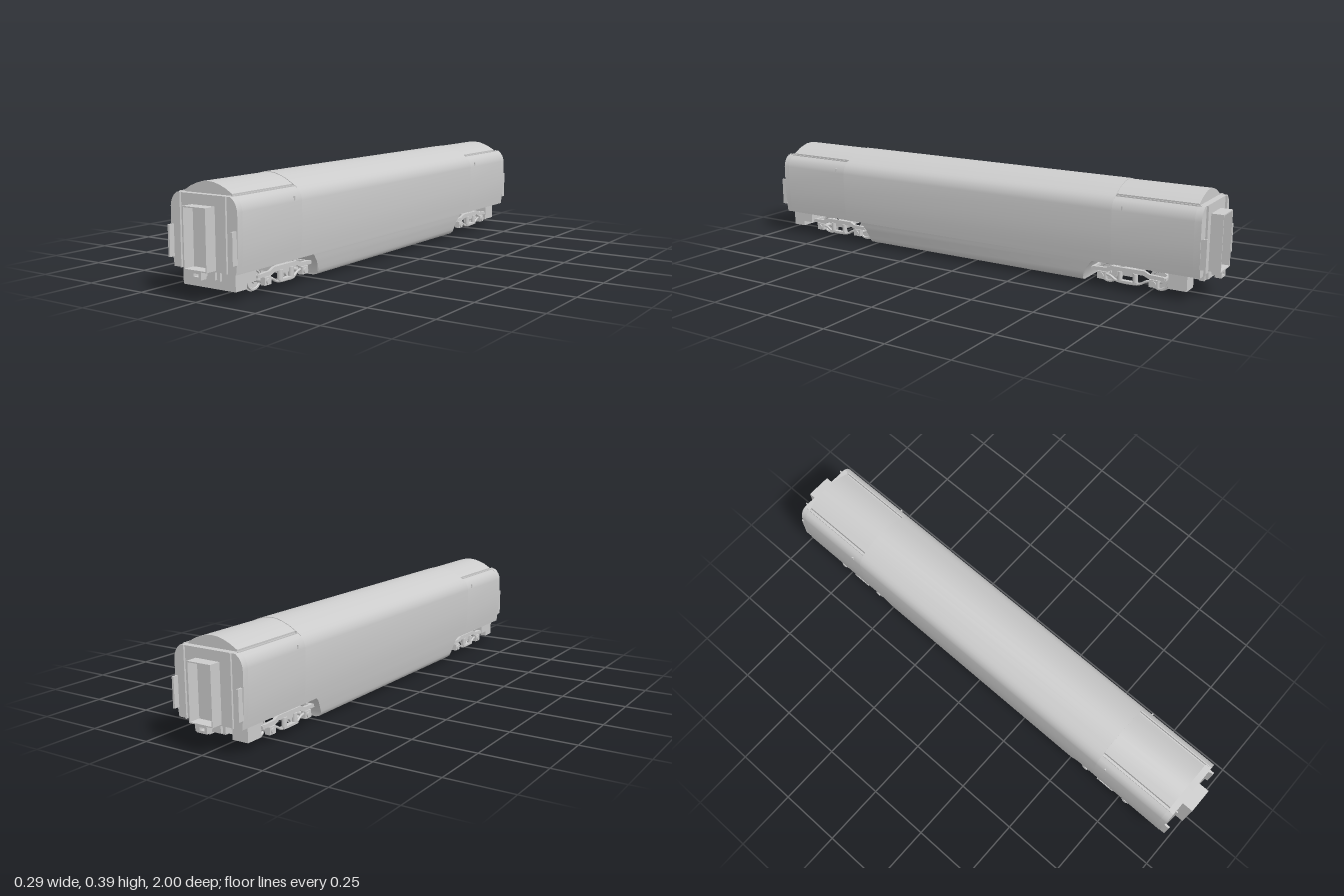
import * as THREE from 'three';
import { toCreasedNormals } from 'three/addons/utils/BufferGeometryUtils.js';

const mat = new THREE.MeshStandardMaterial({ color: 0xcccccc, roughness: 0.8 });
const matDouble = new THREE.MeshStandardMaterial({ color: 0xcccccc, roughness: 0.8, side: THREE.DoubleSide });

function add(parent, name, geometry, x = 0, y = 0, z = 0, material = mat) {
  const mesh = new THREE.Mesh(geometry, material);
  mesh.name = name;
  mesh.position.set(x, y, z);
  parent.add(mesh);
  return mesh;
}

// Box given by its limits
function box(parent, name, x0, x1, y0, y1, z0, z1) {
  return add(parent, name, new THREE.BoxGeometry(x1 - x0, y1 - y0, z1 - z0),
    (x0 + x1) / 2, (y0 + y1) / 2, (z0 + z1) / 2);
}

// Mirrors a right-half profile (bottom to top) and extrudes it from z0 to z1
function hull(half, z0, z1) {
  const left = half.filter(p => p[0] > 0).map(([x, y]) => [-x, y]).reverse();
  const shape = new THREE.Shape([...half, ...left].map(([x, y]) => new THREE.Vector2(x, y)));
  const g = new THREE.ExtrudeGeometry(shape, { depth: z1 - z0, bevelEnabled: false });
  return g.translate(0, 0, z0);
}

const FLOOR = 0.097;
const side = [[0.135, FLOOR], [0.14, 0.135], [0.144, 0.18], [0.145, 0.22], [0.145, 0.3], [0.143, 0.312], [0.138, 0.325], [0.13, 0.337]];
const mainProfile = [...side, [0.117, 0.348], [0.1, 0.358], [0.075, 0.372], [0.05, 0.382], [0.025, 0.389], [0, 0.391]];
const groovedProfile = [...side, [0.113, 0.349], [0.113, 0.338], [0.103, 0.338], [0.103, 0.354],
  [0.075, 0.37], [0.05, 0.38], [0.025, 0.387], [0, 0.389]];
const endProfile = [...side, [0.116, 0.348], [0, 0.348]];

function buildBody(root) {
  const body = new THREE.Group();
  body.name = 'carBody';
  root.add(body);
  const smooth = g => toCreasedNormals(g, 0.6);
  add(body, 'mainShell', smooth(hull(mainProfile, -0.62, 0.62)));
  for (const s of [1, -1]) {
    const span = (a, b) => (s > 0 ? [a, b] : [-b, -a]);
    add(body, 'endRoofShell', smooth(hull(groovedProfile, ...span(0.62, 0.93))));
    add(body, 'endShell', smooth(hull(endProfile, ...span(0.93, 0.955))));
  }

  // Lower skirt, its ends flaring outward towards the floor
  const skirt = hull([[0.1, 0.012], [0.112, 0.015], [0.12, 0.022], [0.125, 0.034], [0.128, 0.05],
    [0.1305, 0.066], [0.133, 0.082], [0.135, FLOOR]], -1, 1);
  const p = skirt.attributes.position;
  for (let i = 0; i < p.count; i++) {
    const t = (p.getY(i) - 0.012) / (FLOOR - 0.012);
    p.setZ(i, Math.sign(p.getZ(i)) * (0.5 + 0.042 * t * t));
  }
  add(body, 'skirt', smooth(skirt));
}

function buildEnd(root, s) {
  const end = new THREE.Group();
  end.name = s > 0 ? 'frontEnd' : 'rearEnd';
  end.rotation.y = s > 0 ? 0 : Math.PI;
  root.add(end);

  // Open gangway hood
  const w = 0.05, t = 0.004;
  for (const m of [1, -1]) {
    add(end, 'gangwaySide', new THREE.BoxGeometry(t, 0.21, 0.045), m * (w - t / 2), 0.207, 0.9775);
    add(end, 'endRib', new THREE.BoxGeometry(0.005, 0.252, 0.009), m * 0.099, 0.223, 0.958);
    add(end, 'grabRail', new THREE.BoxGeometry(0.008, 0.11, 0.024), m * 0.137, 0.185, 0.964);
    add(end, 'ventBlock', new THREE.BoxGeometry(0.006, 0.014, 0.006), m * 0.143, 0.312, 0.66);
    add(end, 'roofLedge', new THREE.BoxGeometry(0.004, 0.012, 0.32), m * 0.114, 0.345, 0.782);
  }
  box(end, 'gangwayTop', -w, w, 0.308, 0.312, 0.955, 1);
  box(end, 'gangwaySill', -w, w, 0.102, 0.106, 0.955, 1);

  // Coupler with a hollow head
  box(end, 'bufferBeam', -0.057, 0.057, 0.065, FLOOR, 0.925, 0.945);
  box(end, 'couplerPocket', -0.045, 0.045, 0.07, FLOOR, 0.94, 0.955);
  box(end, 'couplerShank', -0.012, 0.012, 0.08, 0.096, 0.9, 0.972);
  const head = new THREE.Shape([[-0.021, 0.074], [0.021, 0.074], [0.021, 0.102], [-0.021, 0.102]]
    .map(q => new THREE.Vector2(...q)));
  head.holes.push(new THREE.Path([[-0.011, 0.083], [-0.011, 0.094], [0.011, 0.094], [0.011, 0.083]]
    .map(q => new THREE.Vector2(...q))));
  add(end, 'couplerHead', new THREE.ExtrudeGeometry(head, { depth: 0.025, bevelEnabled: false }), 0, 0, 0.97);

  // Underfloor equipment differs between the two ends
  if (s > 0) {
    box(end, 'crossTank', -0.115, 0.115, 0.035, FLOOR, 0.88, 0.935);
    box(end, 'equipmentBox', 0.05, 0.115, 0.055, FLOOR, 0.835, 0.88);
    box(end, 'equipmentBox', -0.115, -0.05, 0.055, FLOOR, 0.835, 0.88);
  } else {
    for (const m of [1, -1])
      add(end, 'equipmentBox', new THREE.BoxGeometry(0.065, 0.064, 0.07), m * 0.082, 0.066, 0.868);
  }
}

function buildBogie(root, z) {
  const bogie = new THREE.Group();
  bogie.name = z > 0 ? 'frontBogie' : 'rearBogie';
  bogie.position.z = z;
  root.add(bogie);

  // Wheel with a flange on its inner side
  const wheelProfile = [[0, 0], [0.042, 0], [0.042, 0.003], [0.038, 0.004], [0.037, 0.013],
    [0.031, 0.013], [0.029, 0.009], [0.014, 0.009], [0.012, 0.014], [0, 0.014]]
    .map(q => new THREE.Vector2(...q));
  const wheel = toCreasedNormals(new THREE.LatheGeometry(wheelProfile, 28), 0.5);

  for (const dz of [-0.102, 0.102]) {
    const axle = add(bogie, 'axle', new THREE.CylinderGeometry(0.008, 0.008, 0.22, 12), 0, 0.042, dz);
    axle.rotation.z = Math.PI / 2;
    for (const m of [1, -1]) {
      add(bogie, 'wheel', wheel, m * 0.049, 0.042, dz, matDouble).rotation.z = -m * Math.PI / 2;
      add(bogie, 'axleBox', new THREE.BoxGeometry(0.02, 0.028, 0.034), m * 0.112, 0.045, dz);
      const cap = add(bogie, 'axleCap', new THREE.CylinderGeometry(0.011, 0.011, 0.006, 14), m * 0.124, 0.044, dz);
      cap.rotation.z = Math.PI / 2;
    }
  }

  // Side frames: a stepped upper beam and a curved equaliser below
  const beam = new THREE.Shape([[-0.145, 0.06], [-0.08, 0.06], [-0.062, 0.068], [0.062, 0.068], [0.08, 0.06],
    [0.145, 0.06], [0.14, 0.073], [0.085, 0.075], [0.065, 0.085], [-0.065, 0.085], [-0.085, 0.075], [-0.14, 0.073]]
    .map(q => new THREE.Vector2(...q)));
  const beamGeo = new THREE.ExtrudeGeometry(beam, { depth: 0.012, bevelEnabled: false })
    .translate(0, 0, -0.006).rotateY(Math.PI / 2);
  const sag = new THREE.CatmullRomCurve3([[-0.102, 0.052], [-0.07, 0.046], [-0.045, 0.032],
    [0.045, 0.032], [0.07, 0.046], [0.102, 0.052]].map(([c, y]) => new THREE.Vector3(0, y, c)));
  const sagGeo = new THREE.TubeGeometry(sag, 20, 0.005, 6);
  for (const m of [1, -1]) {
    add(bogie, 'sideFrame', beamGeo, m * 0.112, 0, 0);
    add(bogie, 'equaliser', sagGeo, m * 0.112, 0, 0);
    add(bogie, 'springPlank', new THREE.BoxGeometry(0.018, 0.008, 0.08), m * 0.115, 0.034, 0);
    for (const c of [-0.03, 0.03])
      add(bogie, 'spring', new THREE.CylinderGeometry(0.01, 0.01, 0.034, 12), m * 0.115, 0.053, c);
  }
  box(bogie, 'bolster', -0.115, 0.115, 0.055, 0.08, -0.025, 0.025);
  add(bogie, 'pivot', new THREE.CylinderGeometry(0.025, 0.025, 0.022, 20), 0, 0.088, 0);
  for (const c of [-0.142, 0.142])
    box(bogie, 'endTransom', -0.115, 0.115, 0.06, 0.07, c - 0.005, c + 0.005);
}

export function createModel() {
  const root = new THREE.Group();
  root.name = 'railCar';
  buildBody(root);
  for (const s of [1, -1]) {
    buildEnd(root, s);
    buildBogie(root, s * 0.678);
  }
  return root;
}
